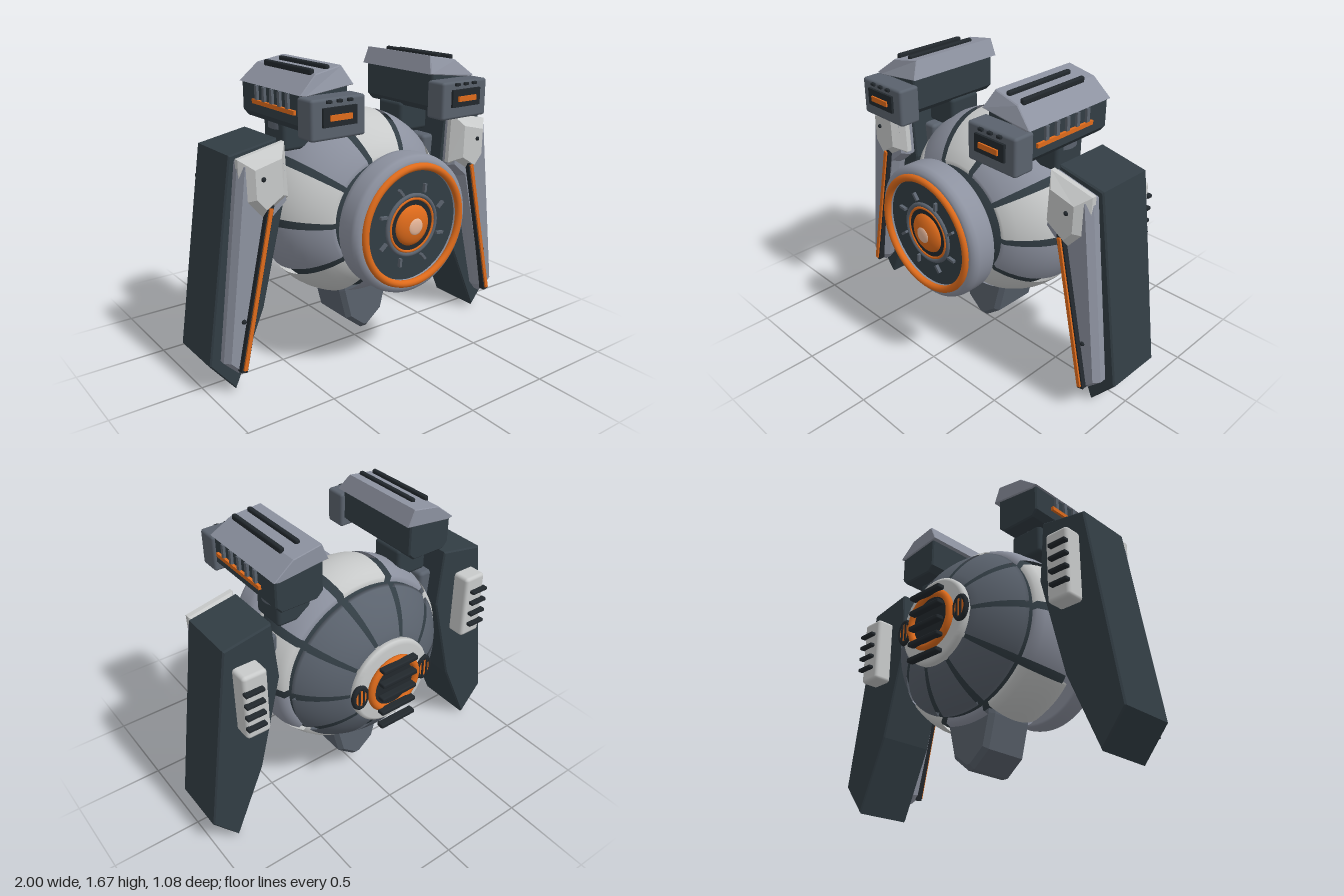
import * as THREE from 'three';
import { RoundedBoxGeometry } from 'three/addons/geometries/RoundedBoxGeometry.js';

const mat = (name, color, side = THREE.FrontSide) => {
  const m = new THREE.MeshStandardMaterial({ color, side });
  m.name = name;
  return m;
};
const CY = 0.842; // height of the body axis

export function createModel() {
  const root = new THREE.Group();
  root.name = 'sphericalDrone';
  const M = {
    light: mat('paleGrey', 0xc8caca, THREE.DoubleSide),
    silver: mat('silverGrey', 0x8d92a0, THREE.DoubleSide),
    slate: mat('slate', 0x5a626d, THREE.DoubleSide),
    dark: mat('darkHull', 0x323d44),
    black: mat('blackTrim', 0x22282d),
    orange: mat('orange', 0xdf6b1b),
    glow: mat('paleOrange', 0xe8b79a),
  };
  const add = (parent, name, geo, m, x = 0, y = 0, z = 0) => {
    const mesh = new THREE.Mesh(geo, m);
    mesh.name = name;
    mesh.position.set(x, y, z);
    parent.add(mesh);
    return mesh;
  };
  const box = (w, h, d, r = 0) => r ? new RoundedBoxGeometry(w, h, d, 2, r) : new THREE.BoxGeometry(w, h, d);
  // Outline in x,y extruded from z0 to z1 with a chamfer; s = -1 mirrors it
  const slab = (pts, z0, z1, s = 1, size = 0.008, thick = size) => {
    const shape = new THREE.Shape(pts.map(([x, y]) => new THREE.Vector2(x * s, y)));
    return new THREE.ExtrudeGeometry(shape, {
      depth: z1 - z0 - 2 * thick, bevelEnabled: true, bevelSegments: 1,
      bevelSize: size, bevelThickness: thick, bevelOffset: -size,
    }).translate(0, 0, z0 + thick);
  };
  // Profile of [radius, z] turned around the z axis
  const turn = (pts, seg = 64, start = 0, len = Math.PI * 2) =>
    new THREE.LatheGeometry(pts.map(([r, z]) => new THREE.Vector2(r, z)), seg, start, len).rotateX(Math.PI / 2);
  const disc = (r, d, seg = 48) => new THREE.CylinderGeometry(r, r, d, seg).rotateX(Math.PI / 2);

  // Body: flattened core with ten front and ten rear shell panels
  const body = new THREE.Group();
  body.name = 'body';
  body.position.set(0, CY, -0.055);
  body.scale.set(1, 0.95, 1);
  root.add(body);
  add(body, 'core', new THREE.SphereGeometry(1, 64, 40).scale(0.53, 0.53, 0.415), M.dark);
  const band = (z0, z1, R, Z) => {
    const at = (z, k) => [k * R * Math.sqrt(Math.max(0, 1 - (z / Z) ** 2)), z];
    const pts = [at(z0, 0.93)];
    for (let i = 0; i <= 12; i++) pts.push(at(z0 + (z1 - z0) * i / 12, 1));
    pts.push(at(z1, 0.93));
    return pts;
  };
  const front = band(-0.165, 0.335, 0.56, 0.43), rear = band(-0.375, -0.195, 0.552, 0.425);
  const step = Math.PI / 5, width = step * 0.86;
  for (let k = 0; k < 10; k++) {
    const start = k * step - width / 2;
    add(body, 'frontShellPanel', turn(front, 10, start, width), k % 2 ? M.light : M.silver);
    add(body, 'rearShellPanel', turn(rear, 10, start, width), M.slate);
  }

  // Front eye
  const eye = new THREE.Group();
  eye.name = 'eye';
  eye.position.y = CY;
  root.add(eye);
  add(eye, 'eyeHousing', turn([[0.01, 0.355], [0.36, 0.362], [0.371, 0.372], [0.374, 0.40], [0.374, 0.475],
    [0.368, 0.497], [0.35, 0.511], [0.335, 0.515], [0.30, 0.515], [0.295, 0.47]]), M.silver);
  add(eye, 'eyeRing', new THREE.TorusGeometry(0.315, 0.02, 12, 72), M.orange, 0, 0, 0.517);
  add(eye, 'eyeDish', disc(0.3, 0.1, 64), M.dark, 0, 0, 0.445);
  add(eye, 'irisRim', new THREE.TorusGeometry(0.16, 0.012, 10, 48), M.slate, 0, 0, 0.497);
  add(eye, 'irisRing', new THREE.TorusGeometry(0.142, 0.008, 8, 48), M.orange, 0, 0, 0.499);
  add(eye, 'irisDish', disc(0.135, 0.006), M.black, 0, 0, 0.498);
  add(eye, 'lens', new THREE.SphereGeometry(0.112, 32, 20).scale(1, 1, 0.4), M.orange, 0, 0, 0.492);
  add(eye, 'pupil', new THREE.SphereGeometry(0.046, 24, 14).scale(1, 1, 0.25), M.glow, 0, 0, 0.53);
  for (let i = 0; i < 8; i++) {
    const a = (i + 0.5) * Math.PI / 4;
    add(eye, 'eyeFin', box(0.045, 0.014, 0.02), M.slate, Math.cos(a) * 0.205, Math.sin(a) * 0.205, 0.503)
      .rotation.z = a + 0.3;
  }

  // Rear exhaust
  add(root, 'exhaustPlate', turn([[0.01, -0.472], [0.225, -0.47], [0.245, -0.455], [0.245, -0.425], [0.20, -0.38]]).translate(0, CY, 0), M.light);
  add(root, 'exhaustWell', disc(0.155, 0.012), M.black, 0, CY, -0.474);
  add(root, 'exhaustRing', new THREE.TorusGeometry(0.15, 0.021, 10, 48), M.orange, 0, CY, -0.482);
  for (let i = 0; i < 5; i++)
    add(root, 'exhaustBar', box(0.23, 0.026, 0.045, 0.008), M.black, 0, 0.625 + i * 0.091, -0.514);

  // Chin
  add(root, 'chin', slab([[-0.18, 0.46], [-0.17, 0.36], [-0.125, 0.18], [-0.02, 0.095], [0.02, 0.095],
    [0.125, 0.18], [0.17, 0.36], [0.18, 0.46]], -0.19, 0.11, 1, 0.025), M.slate);

  for (const s of [1, -1]) {
    // Side exhaust ports
    add(root, 'portRim', new THREE.TorusGeometry(0.055, 0.016, 8, 28).scale(0.75, 1.1, 1), M.black, s * 0.215, CY, -0.468);
    add(root, 'portGlow', disc(0.05, 0.02, 28).scale(0.75, 1.1, 1), M.orange, s * 0.215, CY, -0.47);
    for (const dx of [-0.014, 0.014])
      add(root, 'portBar', box(0.01, 0.1, 0.02), M.black, s * 0.215 + dx, CY, -0.476);

    // Arm
    const arm = new THREE.Group();
    arm.name = s > 0 ? 'leftArm' : 'rightArm';
    root.add(arm);
    add(arm, 'armHull', slab([[0.565, 1.31], [0.835, 1.26], [1, 0.175], [0.857, 0], [0.675, 0.415], [0.535, 0.97]],
      -0.218, 0.12, s), M.dark);
    add(arm, 'armPlate', slab([[0.565, 1.29], [0.815, 1.235], [0.945, 0.2], [0.865, 0.12], [0.825, 0.17], [0.645, 0.92], [0.55, 1.0]],
      0.09, 0.205, s, 0.022, 0.04), M.silver);
    add(arm, 'armCap', slab([[0.56, 1.305], [0.82, 1.25], [0.815, 1.03], [0.715, 0.915], [0.545, 1.02]],
      0.09, 0.238, s, 0.06, 0.06), M.light);
    const dx = 0.19, dy = 0.86, len = Math.hypot(dx, dy), tilt = s * Math.atan2(dx, dy);
    add(arm, 'stripBed', box(0.036, len, 0.04), M.black, s * 0.77, 0.582, 0.213).rotation.z = tilt;
    add(arm, 'lightStrip', box(0.02, len - 0.03, 0.012), M.orange, s * 0.77, 0.582, 0.238).rotation.z = tilt;
    add(arm, 'capBolt', new THREE.SphereGeometry(0.013, 12, 8), M.black, s * 0.715, 1.15, 0.237);
    add(arm, 'plateBolt', new THREE.SphereGeometry(0.013, 12, 8), M.black, s * 0.84, 0.42, 0.205);
    add(arm, 'shoulder', box(0.12, 0.19, 0.16, 0.02), M.slate, s * 0.54, 1.065, -0.05);

    // Vent on the back of the arm
    add(arm, 'ventPlate', box(0.14, 0.39, 0.115, 0.02), M.light, s * 0.73, 0.95, -0.26);
    for (let i = 0; i < 4; i++)
      add(arm, 'ventBar', box(0.11, 0.02, 0.035, 0.006), M.black, s * 0.75, 0.835 + i * 0.073, -0.328);

    // Shoulder pod
    const pod = new THREE.Group();
    pod.name = s > 0 ? 'leftPod' : 'rightPod';
    root.add(pod);
    add(pod, 'podPylon', box(0.2, 0.17, 0.2, 0.02), M.dark, s * 0.385, 1.295, -0.05);
    add(pod, 'podCollar', new THREE.CylinderGeometry(0.1, 0.1, 0.05, 24), M.slate, s * 0.4, 1.345, -0.05);
    add(pod, 'podHull', slab([[0.275, 1.4], [0.31, 1.365], [0.52, 1.365], [0.55, 1.4], [0.55, 1.55], [0.275, 1.58]],
      -0.245, 0.32, s), M.dark);
    const roof = slab([[0.288, 1.665], [0.45, 1.637], [0.56, 1.548], [0.53, 1.54], [0.25, 1.575]], -0.255, 0.335, s, 0.004);
    const p = roof.attributes.position;
    for (let i = 0; i < p.count; i++) // rake the nose back towards the top
      if (p.getZ(i) > 0) p.setZ(i, p.getZ(i) - Math.max(0, p.getY(i) - 1.585) * 0.65);
    roof.computeVertexNormals();
    add(pod, 'podRoof', roof, M.silver);
    for (const [x, y] of [[0.36, 1.655], [0.45, 1.643]])
      add(pod, 'roofRail', box(0.026, 0.034, 0.44, 0.01), M.black, s * x, y, 0.055);
    add(pod, 'podNose', box(0.315, 0.2, 0.125, 0.015), M.slate, s * 0.408, 1.443, 0.37);
    add(pod, 'nosePlate', box(0.195, 0.092, 0.02), M.black, s * 0.408, 1.455, 0.436);
    add(pod, 'noseLight', box(0.125, 0.028, 0.012), M.orange, s * 0.408, 1.452, 0.449);
    for (const x of [-0.06, 0, 0.06])
      add(pod, 'noseSensor', box(0.03, 0.016, 0.02, 0.005), M.black, s * 0.408 + x, 1.527, 0.436);
    add(pod, 'sideLight', box(0.02, 0.022, 0.4), M.orange, s * 0.555, 1.46, 0.08);
    for (let i = 0; i < 5; i++)
      add(pod, 'sideRib', box(0.025, 0.075, 0.022), M.slate, s * 0.552, 1.506, 0.215 - i * 0.074);
  }
  return root;
}
